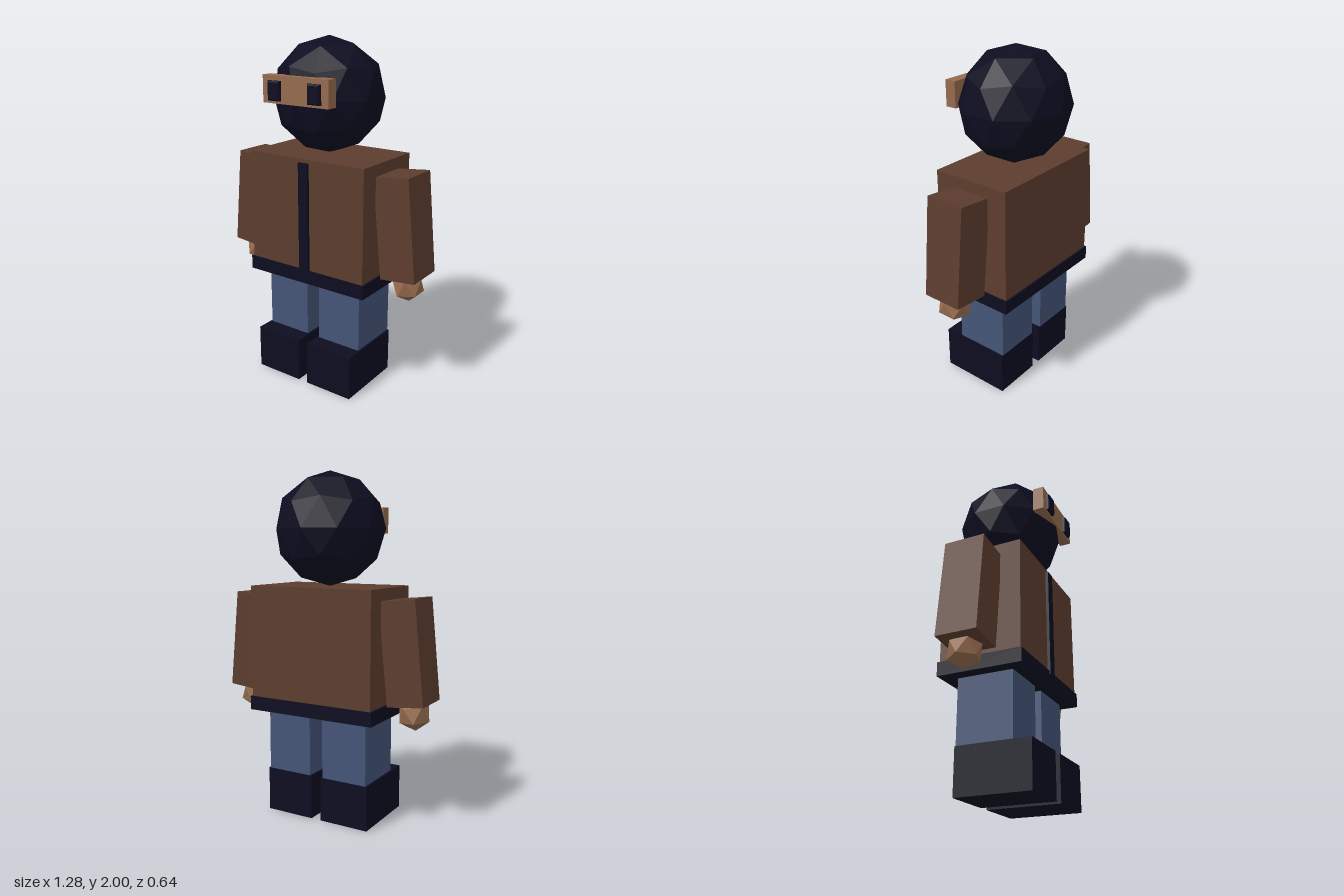
import * as THREE from 'three';

const material = (name, color) => Object.assign(new THREE.MeshStandardMaterial({ color, flatShading: true }), { name });

export function createModel() {
  const navy = material('dark navy', 0x0d0d21);
  const brown = material('jacket brown', 0x5c3d2e);
  const skin = material('skin', 0x966b4e);
  const denim = material('denim blue', 0x445577);

  const model = new THREE.Group();
  model.name = 'figure';

  const add = (name, geometry, mat, parent = model) => {
    const mesh = new THREE.Mesh(geometry, mat);
    mesh.name = name;
    parent.add(mesh);
    return mesh;
  };

  // Box given by its lower and upper limits on each axis
  const box = (name, mat, [x0, x1], [y0, y1], [z0, z1]) => {
    const mesh = add(name, new THREE.BoxGeometry(x1 - x0, y1 - y0, z1 - z0), mat);
    mesh.position.set((x0 + x1) / 2, (y0 + y1) / 2, (z0 + z1) / 2);
    return mesh;
  };

  // Faceted ball with a vertex pointing straight up
  const ball = (radius, detail) =>
    new THREE.IcosahedronGeometry(radius, detail).rotateZ(-Math.atan(2 / (1 + Math.sqrt(5))));

  // Hooded head, slightly flattened front to back
  const head = add('head', ball(0.3225, 1), navy);
  head.position.set(0, 1.6775, -0.015);
  head.scale.z = 0.95;
  box('faceOpening', skin, [-0.215, 0.215], [1.655, 1.803], [0.228, 0.294]);

  // Jacket with zip and waistband
  box('jacket', brown, [-0.386, 0.386], [0.7, 1.357], [-0.253, 0.221]);
  box('zip', navy, [-0.031, 0.031], [0.69, 1.335], [0.2, 0.238]);
  box('waistband', navy, [-0.397, 0.397], [0.63, 0.71], [-0.262, 0.231]);

  // Bevelled eye block
  const w = 0.032, h = 0.045;
  const eyeShape = new THREE.Shape([[-w, -h], [w, -h], [w, h], [-w, h]].map(p => new THREE.Vector2(...p)));
  const eyeGeometry = new THREE.ExtrudeGeometry(eyeShape, {
    depth: 0.02, bevelThickness: 0.008, bevelSize: 0.008, bevelSegments: 1,
  });

  for (const [side, s] of [['left', 1], ['right', -1]]) {
    const span = (a, b) => (s > 0 ? [a, b] : [-b, -a]);

    add(side + 'Eye', eyeGeometry, navy).position.set(s * 0.131, 1.723, 0.288);

    // Legs and boots
    box(side + 'Leg', denim, span(0.042, 0.321), [0.26, 0.64], [-0.175, 0.148]);
    box(side + 'Boot', navy, span(0.031, 0.331), [0, 0.26], [-0.176, 0.254]);

    // Arm swung slightly outwards, with a faceted hand
    const arm = new THREE.Group();
    arm.name = side + 'Arm';
    arm.position.set(s * 0.504, 1.013, -0.016);
    arm.rotation.z = s * 0.1;
    model.add(arm);
    add(side + 'Sleeve', new THREE.BoxGeometry(0.212, 0.575, 0.235), brown, arm);
    const hand = add(side + 'Hand', ball(0.095, 0), skin, arm);
    hand.position.y = -0.345;
    hand.scale.z = 1.05;
  }

  return model;
}
